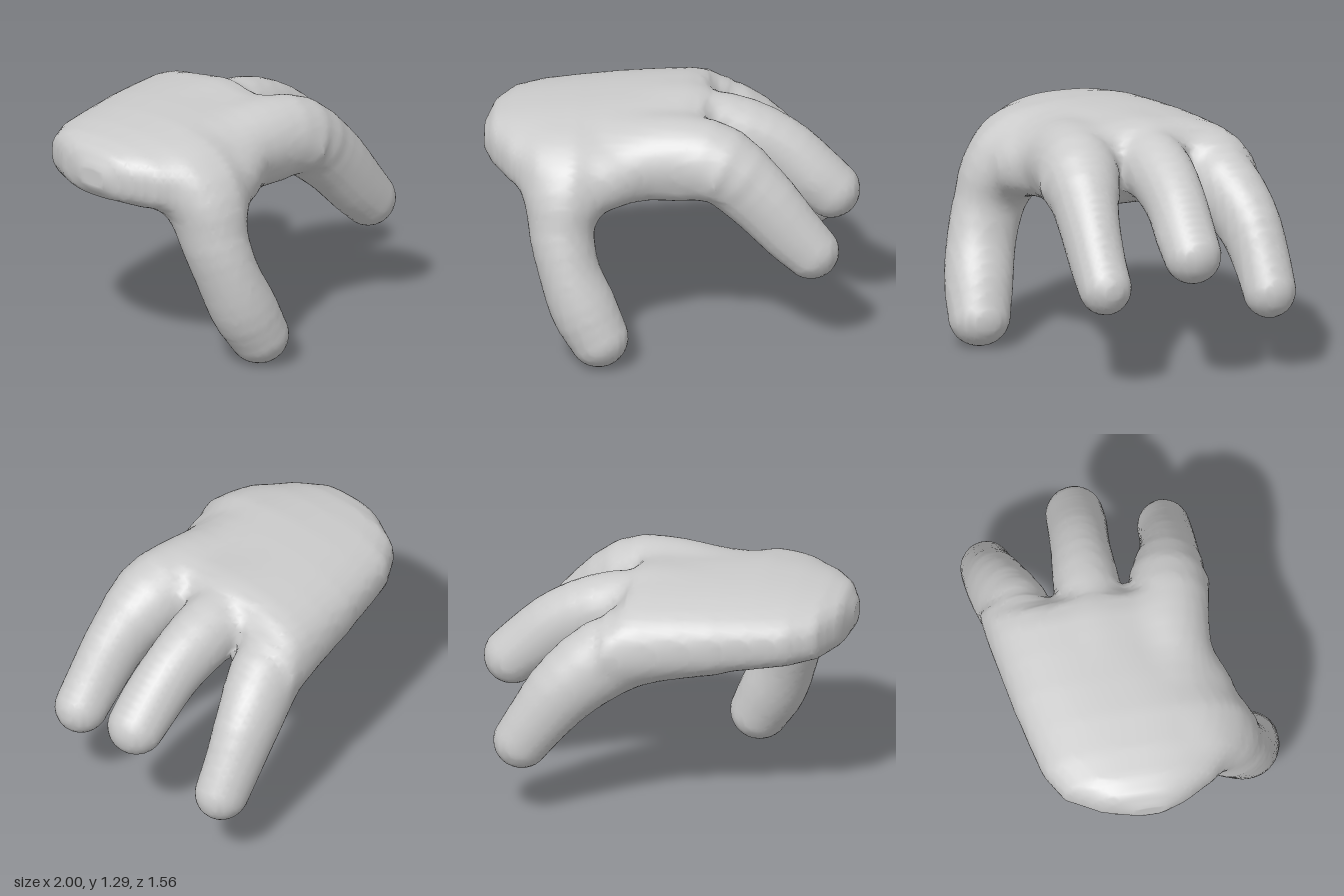
import * as THREE from 'three';

const STEP = 0.034;
const material = new THREE.MeshStandardMaterial({ color: 0xcccccc, roughness: 0.8 });
const { clamp, lerp } = THREE.MathUtils;

// Palm cross-sections along x: [x, back z, front z, bottom y, top y]
const PALM = [
  [-1, -0.1, 0.08, 1, 1.12],
  [-0.95, -0.28, 0.2, 0.94, 1.2],
  [-0.85, -0.46, 0.36, 0.905, 1.235],
  [-0.7, -0.55, 0.5, 0.88, 1.26],
  [-0.5, -0.6, 0.57, 0.855, 1.28],
  [-0.3, -0.645, 0.5, 0.835, 1.285],
  [-0.1, -0.67, 0.42, 0.825, 1.285],
  [0.08, -0.69, 0.43, 0.83, 1.285],
  [0.17, -0.69, 0.42, 0.87, 1.265],
  [0.25, -0.67, 0.4, 0.97, 1.16],
];

// Digit stations: [x, y, z, side radius, thickness radius]; blend is the softness of the joint
const THUMB_PARTS = [
  { name: 'thumbWeb', blend: 0.08, stations: [
    [-0.55, 0.89, 0.42, 0.14, 0.14], [-0.38, 0.96, 0.36, 0.15, 0.14],
    [-0.2, 1.03, 0.29, 0.15, 0.14], [-0.02, 1.06, 0.25, 0.15, 0.15],
  ] },
  { name: 'thumb', blend: 0.1, stations: [
    [-0.56, 0.99, 0.3, 0.18, 0.19], [-0.565, 0.89, 0.4, 0.2, 0.185],
    [-0.565, 0.73, 0.475, 0.195, 0.175], [-0.525, 0.53, 0.535, 0.19, 0.163],
    [-0.447, 0.33, 0.58, 0.187, 0.177], [-0.36, 0.163, 0.61, 0.168, 0.16],
  ] },
];
const FINGERS = [
  { name: 'indexFinger', blend: 0.07, stations: [
    [-0.25, 1.07, 0.21, 0.18, 0.16], [0, 1.085, 0.235, 0.2, 0.195],
    [0.24, 1.06, 0.27, 0.212, 0.205], [0.48, 0.875, 0.315, 0.163, 0.188],
    [0.66, 0.675, 0.33, 0.147, 0.167], [0.765, 0.565, 0.33, 0.142, 0.15],
  ] },
  { name: 'middleFinger', blend: 0.07, stations: [
    [-0.2, 1.08, -0.14, 0.18, 0.15], [0.08, 1.085, -0.15, 0.19, 0.18],
    [0.34, 1.045, -0.155, 0.178, 0.19], [0.58, 0.94, -0.15, 0.16, 0.18],
    [0.75, 0.805, -0.14, 0.16, 0.167], [0.85, 0.72, -0.14, 0.155, 0.155],
  ] },
  { name: 'littleFinger', blend: 0.07, stations: [
    [-0.25, 1.02, -0.44, 0.16, 0.16], [0, 1.0, -0.48, 0.19, 0.19],
    [0.24, 0.945, -0.535, 0.19, 0.215], [0.47, 0.775, -0.605, 0.167, 0.195],
    [0.62, 0.585, -0.63, 0.149, 0.167], [0.712, 0.45, -0.635, 0.142, 0.152],
  ] },
];

function palmDistance(x, y, z) {
  let i = 0;
  while (i < PALM.length - 2 && x > PALM[i + 1][0]) i++;
  const t = clamp((x - PALM[i][0]) / (PALM[i + 1][0] - PALM[i][0]), 0, 1);
  const [, back, front, bottom, top] = PALM[i].map((v, n) => lerp(v, PALM[i + 1][n], t));
  const width = (front - back) / 2, height = (top - bottom) / 2;
  const u = (z - (front + back) / 2) / width;
  // The thumb edge droops more than the outer edge
  const droop = (u > 0 ? 0.22 : 0.07) * width * width * Math.min(u * u, 1.5);
  const v = (y + droop - (bottom + top) / 2) / height;
  const k = (Math.abs(u) ** 2.7 + Math.abs(v) ** 2.7) ** (1 / 2.7);
  return Math.max((k - 1) * height, -1 - x, x - 0.25);
}

// Distance to an oval tube with rounded ends along a smooth curve
function makeDigit({ stations, ...part }) {
  const path = new THREE.CatmullRomCurve3(stations.map(s => new THREE.Vector3(s[0], s[1], s[2])));
  const radii = new THREE.CatmullRomCurve3(stations.map(s => new THREE.Vector3(s[3], s[4], 0)));
  const centres = path.getPoints(14), sizes = radii.getPoints(14);
  const distance = (x, y, z) => {
    let best = Infinity;
    for (let i = 0; i < 14; i++) {
      const a = centres[i], b = centres[i + 1];
      const dx = b.x - a.x, dy = b.y - a.y, dz = b.z - a.z;
      const along = (x - a.x) * dx + (y - a.y) * dy + (z - a.z) * dz;
      const t = clamp(along / (dx * dx + dy * dy + dz * dz), 0, 1);
      const side = lerp(sizes[i].x, sizes[i + 1].x, t);
      const thick = lerp(sizes[i].y, sizes[i + 1].y, t);
      const k = Math.hypot((x - a.x - dx * t) / thick, (y - a.y - dy * t) / thick, (z - a.z - dz * t) / side);
      best = Math.min(best, (k - 1) * Math.min(side, thick));
    }
    return best;
  };
  return { ...part, distance };
}

// Union with a soft fillet of the given size
function softUnion(a, b, size) {
  const h = Math.max(size - Math.abs(a - b), 0) / size;
  return Math.min(a, b) - h * h * size / 4;
}

export function createModel() {
  const thumbParts = THUMB_PARTS.map(makeDigit);
  const fingers = FINGERS.map(makeDigit);

  // Flesh: thumb melts into the palm, fingers join it but stay split from each other
  const flesh = (x, y, z) => {
    const base = thumbParts.reduce((d, p) => softUnion(d, p.distance(x, y, z), p.blend), palmDistance(x, y, z));
    return Math.min(...fingers.map(p => softUnion(base, p.distance(x, y, z), p.blend)));
  };
  // Slides a point down the slope of the field onto the surface
  const settle = point => {
    const d = flesh(...point), e = 0.004;
    const slope = point.map((_, n) => (flesh(...point.map((v, m) => m === n ? v + e : v)) - d) / e);
    const steep = Math.max(slope.reduce((s, v) => s + v * v, 0), 0.2);
    return point.map((v, n) => v - clamp(slope[n] * d / steep, -STEP / 3, STEP / 3));
  };

  // Sample the flesh on a grid
  const low = [-1.1, -0.1, -0.9];
  const count = [2.2, 1.5, 1.8].map(s => Math.ceil(s / STEP));
  const stride = [count[1] * count[2], count[2], 1];
  const field = new Float32Array(count[0] * stride[0]);
  const cellOf = g => [Math.floor(g / stride[0]), Math.floor(g / stride[1]) % count[1], g % count[2]];
  for (let g = 0; g < field.length; g++) {
    field[g] = flesh(...cellOf(g).map((c, n) => low[n] + c * STEP));
  }

  // One skin vertex per crossed cell, labelled with the part it lies on
  const positions = [], labels = [], vertexOf = new Map();
  const named = [thumbParts[1], ...fingers];
  const corner = (g, c) => g + (c & 1) * stride[0] + (c >> 1 & 1) * stride[1] + (c >> 2) * stride[2];
  for (let g = 0; g < field.length; g++) {
    const cell = cellOf(g);
    if (cell.some((c, n) => c >= count[n] - 1)) continue;
    const sum = [0, 0, 0];
    let crossings = 0;
    for (let c = 0; c < 8; c++) {
      for (let axis = 0; axis < 3; axis++) {
        if (c >> axis & 1) continue;
        const a = field[corner(g, c)], b = field[corner(g, c | 1 << axis)];
        if (a < 0 === b < 0) continue;
        crossings++;
        for (let n = 0; n < 3; n++) sum[n] += n === axis ? a / (a - b) : c >> n & 1;
      }
    }
    if (!crossings) continue;
    const point = settle(settle(sum.map((s, n) => low[n] + (cell[n] + s / crossings) * STEP)));
    const reach = named.map(p => p.distance(...point));
    const nearest = reach.indexOf(Math.min(...reach));
    vertexOf.set(g, labels.length);
    positions.push(...point);
    labels.push(reach[nearest] < palmDistance(...point) ? named[nearest].name : 'palm');
  }

  // Quads across every crossed grid edge, gathered by part
  const faces = Object.fromEntries(['palm', ...named.map(p => p.name)].map(name => [name, []]));
  for (let g = 0; g < field.length; g++) {
    for (let axis = 0; axis < 3; axis++) {
      const inside = field[g] < 0, next = field[g + stride[axis]];
      if (next === undefined || inside === next < 0) continue;
      const b = stride[(axis + 1) % 3], c = stride[(axis + 2) % 3];
      const quad = [g - b - c, g - c, g, g - b].map(cell => vertexOf.get(cell));
      if (!inside) quad.reverse();
      const [p, q, r, s] = quad;
      faces[labels[p]].push(p, q, r, p, r, s);
    }
  }

  // Shared normals keep the skin seamless between parts
  const skin = new THREE.BufferGeometry();
  skin.setAttribute('position', new THREE.Float32BufferAttribute(positions, 3));
  skin.setIndex(Object.values(faces).flat());
  skin.computeVertexNormals();

  const hand = new THREE.Group();
  hand.name = 'hand';
  for (const [name, index] of Object.entries(faces)) {
    const geometry = skin.clone().setIndex(index);
    const mesh = new THREE.Mesh(geometry, material);
    mesh.name = name;
    hand.add(mesh);
  }
  return hand;
}
